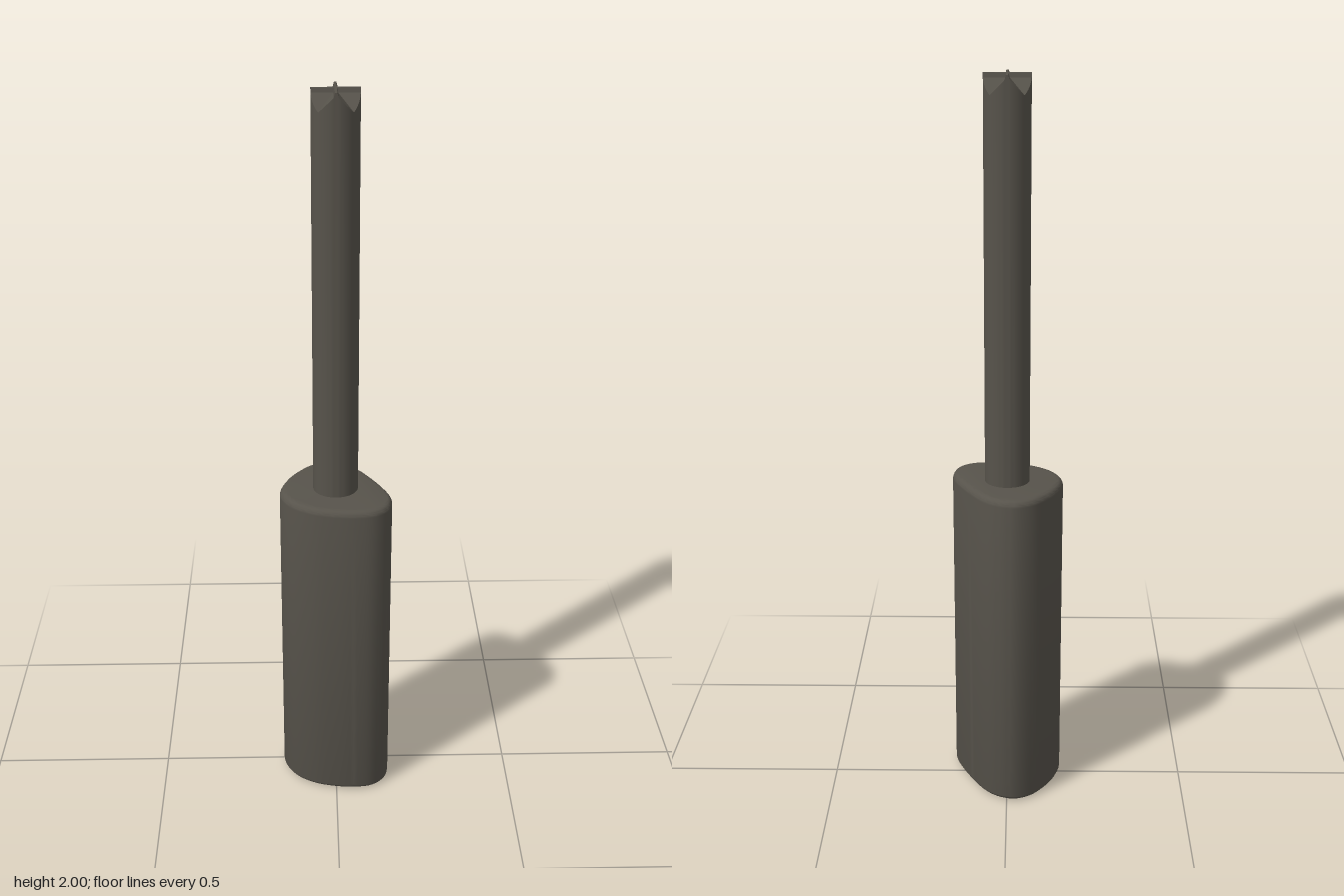
import * as THREE from 'three';
import { toCreasedNormals } from 'three/addons/utils/BufferGeometryUtils.js';

const R = 0.061, TOP = 2, BASE = 0.88; // shaft radius, tip and buried foot
const W1 = 0.003, W2 = 0.006; // half widths of the ridge and of its bevelled foot

// height of the tip at a distance from the nearest ridge line
const tipY = (m) => m <= W1 ? TOP
  : m <= W2 ? TOP - 0.012 * (m - W1) / (W2 - W1)
  : TOP - 0.012 - 1.05 * (m - W2);
const tip = (x, z) => new THREE.Vector3(x, tipY(Math.min(x, z)), z);

function meshFrom(name, triangles, material) {
  const g = new THREE.BufferGeometry().setFromPoints(triangles);
  g.computeVertexNormals();
  const mesh = new THREE.Mesh(toCreasedNormals(g, 0.5), material);
  mesh.name = name;
  return mesh;
}

const fan = (p) => p.slice(2).flatMap((q, i) => [p[0], p[i + 1], q]);

// one quarter of the cross-cut tip
function tipTriangles() {
  const far = (w) => Math.sqrt(R * R - w * w);
  const R1 = far(W1), R2 = far(W2), a = Math.asin(W2 / R);
  const ridge = fan([tip(W1, W1), tip(R1, W1), tip(R, 0), tip(0, 0), tip(0, R), tip(W1, R1)]);
  const bevel = [
    ...fan([tip(W1, W1), tip(W2, W2), tip(R2, W2), tip(R1, W1)]),
    ...fan([tip(W1, W1), tip(W1, R1), tip(W2, R2), tip(W2, W2)]),
  ];
  const valley = [tip(W2, W2)];
  for (let i = 0; i <= 12; i++) {
    const t = Math.PI / 2 - a - (i / 12) * (Math.PI / 2 - 2 * a);
    valley.push(tip(R * Math.cos(t), R * Math.sin(t)));
  }
  return [...ridge, ...bevel, ...fan(valley)];
}

// full shaft wall, following the notched rim
function wallTriangles() {
  const a1 = Math.asin(W1 / R), a2 = Math.asin(W2 / R), angles = [];
  for (let q = 0; q < 4; q++) {
    const o = q * Math.PI / 2;
    angles.push(o, o + a1);
    for (let i = 0; i <= 12; i++) angles.push(o + a2 + (i / 12) * (Math.PI / 2 - 2 * a2));
    angles.push(o + Math.PI / 2 - a1);
  }
  angles.push(Math.PI * 2);
  const out = [];
  for (let i = 0; i < angles.length - 1; i++) {
    const [a, b] = [angles[i], angles[i + 1]].map((t) => {
      const x = R * Math.cos(t), z = R * Math.sin(t);
      const y = tipY(Math.min(Math.abs(x), Math.abs(z)));
      return [new THREE.Vector3(x, BASE, z), new THREE.Vector3(x, y, z)];
    });
    out.push(a[0], a[1], b[1], a[0], b[1], b[0]);
  }
  return out;
}

// rounded three-sided grip outline, as x and z
const OUTLINE = [
  [-0.02, -0.158], [0.03, -0.144], [0.065, -0.114], [0.1, -0.061], [0.13, -0.003], [0.147, 0.04],
  [0.151, 0.073], [0.14, 0.115], [0.105, 0.146], [0.05, 0.155], [-0.01, 0.149], [-0.064, 0.133],
  [-0.115, 0.099], [-0.144, 0.055], [-0.152, 0.01], [-0.133, -0.055], [-0.105, -0.101], [-0.067, -0.141],
];

function gripGeometry() {
  const curve = new THREE.CatmullRomCurve3(
    OUTLINE.map(([x, z]) => new THREE.Vector3(x, -z, 0)), true, 'centripetal');
  const points = curve.getPoints(90).slice(0, -1).map((p) => new THREE.Vector2(p.x, p.y));
  const bevel = 0.018, height = 0.915;
  const g = new THREE.ExtrudeGeometry(new THREE.Shape(points), {
    depth: height - 2 * bevel, bevelEnabled: true, bevelSize: bevel,
    bevelThickness: bevel, bevelOffset: -bevel, bevelSegments: 6,
  });
  g.translate(0, 0, bevel).rotateX(-Math.PI / 2);
  return toCreasedNormals(g, 0.5);
}

export function createModel() {
  const model = new THREE.Group();
  model.name = 'handTool';
  const darkGrey = new THREE.MeshStandardMaterial({ color: 0x57534b });
  darkGrey.name = 'warmDarkGrey';

  const grip = new THREE.Mesh(gripGeometry(), darkGrey);
  grip.name = 'grip';
  model.add(grip);

  const shaft = new THREE.Group();
  shaft.name = 'shaft';
  shaft.position.z = 0.007;
  shaft.add(meshFrom('shaftWall', wallTriangles(), darkGrey));
  for (let q = 0; q < 4; q++) {
    const quarter = meshFrom('crossTipQuarter', tipTriangles(), darkGrey);
    quarter.rotation.y = q * Math.PI / 2;
    shaft.add(quarter);
  }
  model.add(shaft);
  return model;
}
